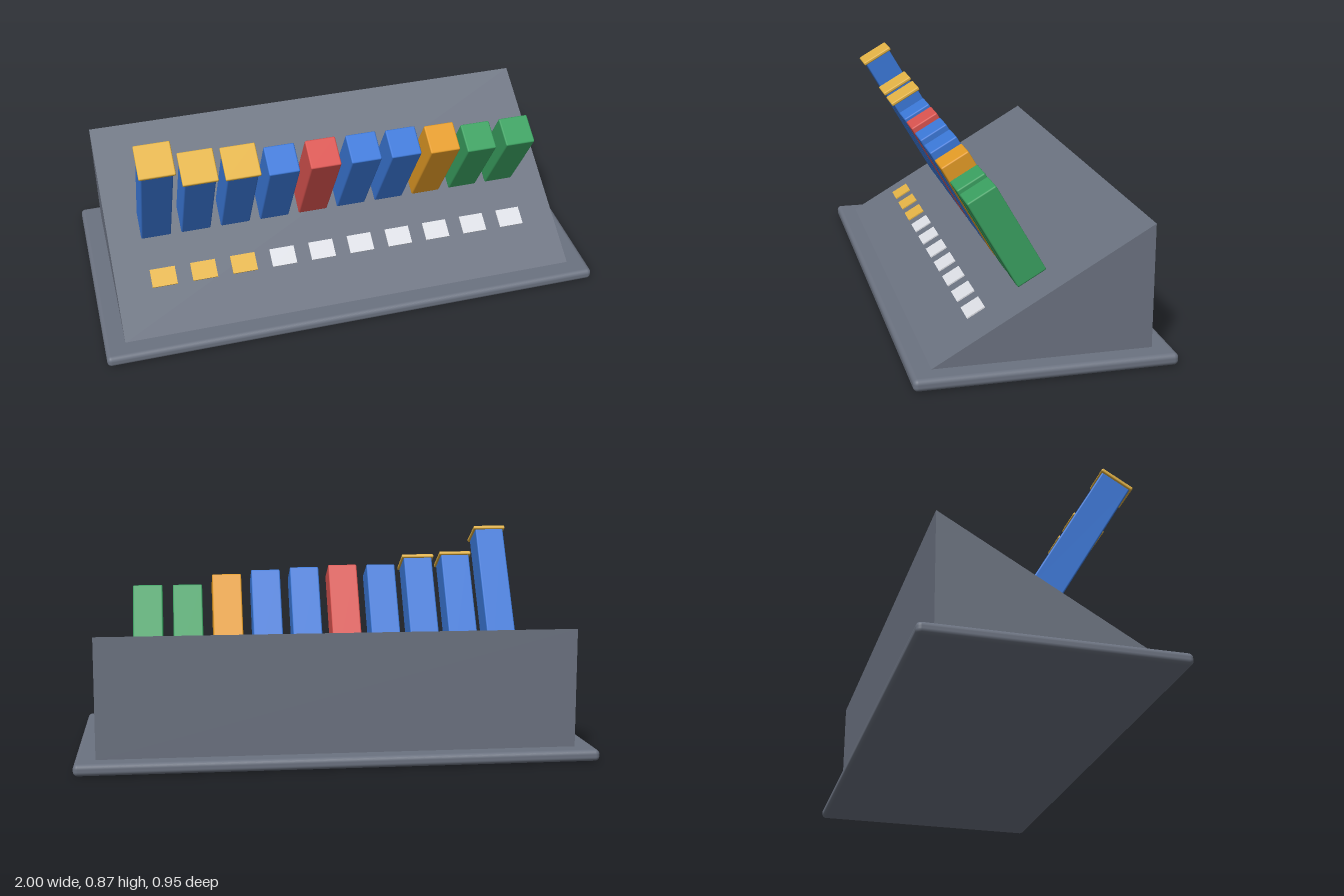
import * as THREE from 'three';
import { RoundedBoxGeometry } from 'three/addons/geometries/RoundedBoxGeometry.js';

function material(name, color) {
  const m = new THREE.MeshStandardMaterial({ color });
  m.name = name;
  return m;
}

export function createModel() {
  const model = new THREE.Group();
  model.name = 'barDisplay';

  const slate = material('slate grey', 0x6b7280);
  const blue = material('blue', 0x3b78d8);
  const red = material('red', 0xd9534f);
  const orange = material('orange', 0xe39b26);
  const green = material('green', 0x3aa060);
  const gold = material('gold', 0xe3b345);
  const silver = material('pale silver', 0xdcdee4);

  const add = (parent, name, geometry, mat, x, y, z) => {
    const mesh = new THREE.Mesh(geometry, mat);
    mesh.name = name;
    mesh.position.set(x, y, z);
    parent.add(mesh);
    return mesh;
  };

  // Rounded base slab
  add(model, 'base', new RoundedBoxGeometry(2, 0.045, 0.95, 4, 0.018), slate, 0, 0.0225, 0);

  // Wedge: side profile extruded along x, sloping down to the front
  const profile = new THREE.Shape();
  profile.moveTo(-0.4, 0.044);
  profile.lineTo(0.4, 0.044);
  profile.lineTo(0.4, 0.507);
  profile.closePath();
  const wedgeGeometry = new THREE.ExtrudeGeometry(profile, { depth: 1.84, bevelEnabled: false });
  wedgeGeometry.rotateY(Math.PI / 2); // profile x becomes -z, depth becomes x
  add(model, 'wedge', wedgeGeometry, slate, -0.92, 0, 0);

  // Everything on the slope shares its tilt
  const slope = new THREE.Group();
  slope.name = 'slopeParts';
  slope.position.set(0, 0.276, 0);
  slope.rotation.x = Math.PI / 6;
  model.add(slope);

  // Bars: height and colour, from the model's right to its left
  const bars = [
    [0.62, blue], [0.5, blue], [0.488, blue], [0.454, blue], [0.454, red],
    [0.445, blue], [0.435, blue], [0.417, orange], [0.372, green], [0.372, green],
  ];
  const foot = 0.0145;
  bars.forEach(([height, mat], i) => {
    const x = -0.73 + i * 0.1617;
    const leading = i < 3;
    add(slope, 'bar' + (i + 1), new RoundedBoxGeometry(0.12, height, 0.12, 2, 0.006),
      mat, x, foot + height / 2, -0.003);
    // Gold caps on the three tallest bars
    if (leading) {
      add(slope, 'cap' + (i + 1), new RoundedBoxGeometry(0.135, 0.015, 0.135, 2, 0.005),
        gold, x, foot + height, -0.003);
    }
    // Small plate in front of each bar
    add(slope, 'plate' + (i + 1), new THREE.BoxGeometry(0.1, 0.005, 0.075),
      leading ? gold : silver, x, 0.0176, 0.2295);
  });

  return model;
}
